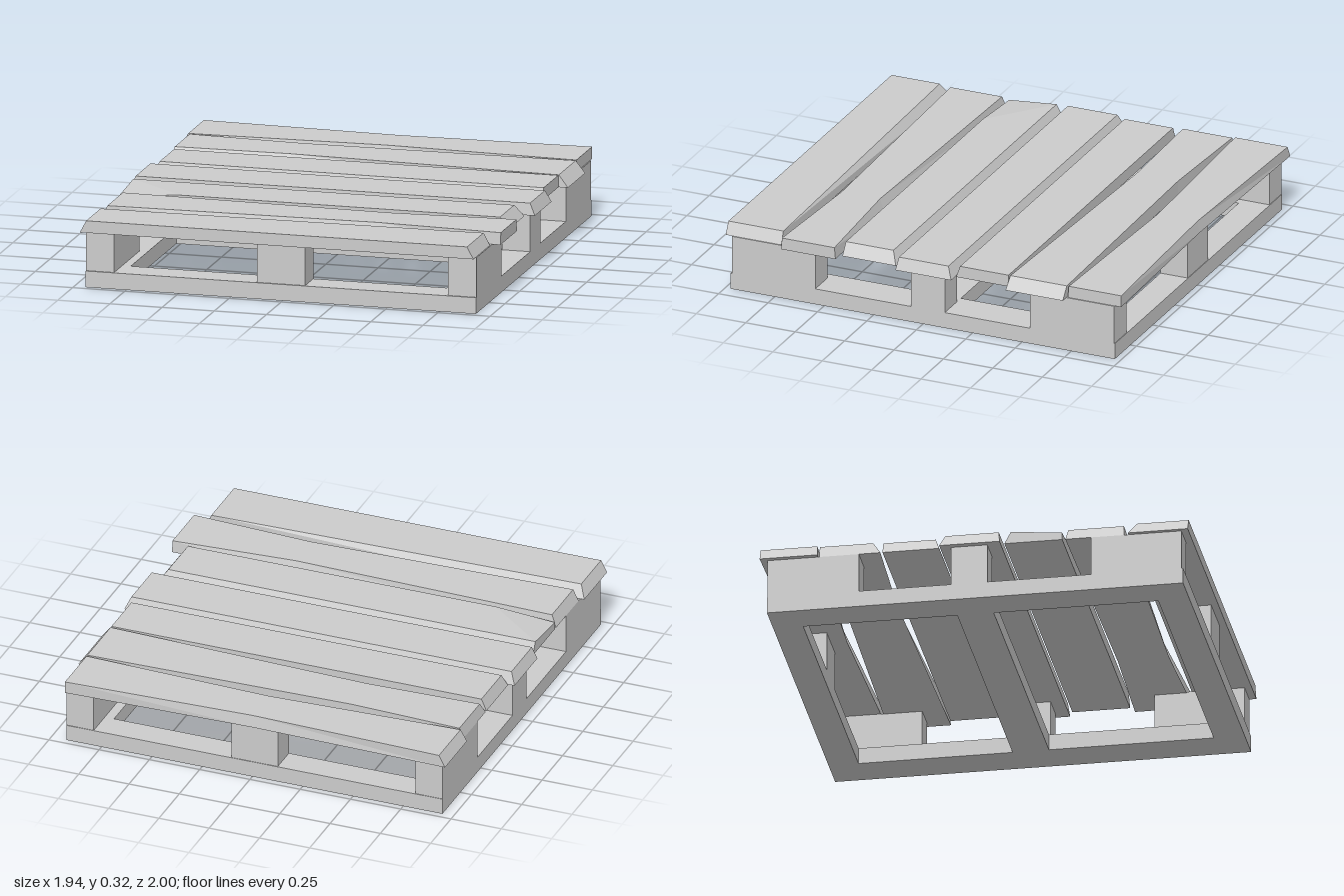
import * as THREE from 'three';

const material = new THREE.MeshStandardMaterial({ color: 0xcccccc, flatShading: true });
const BASE = 0.077, DECK = 0.265, TOP = 0.322;

function add(group, name, geometry) {
  const mesh = new THREE.Mesh(geometry, material);
  mesh.name = name;
  group.add(mesh);
}

// Box given by its min and max on each axis
function span(x0, x1, y0, y1, z0, z1) {
  return new THREE.BoxGeometry(x1 - x0, y1 - y0, z1 - z0)
    .translate((x0 + x1) / 2, (y0 + y1) / 2, (z0 + z1) / 2);
}

function rect(Type, x0, x1, z0, z1) {
  const p = new Type();
  p.moveTo(x0, z0);
  p.lineTo(x1, z0);
  p.lineTo(x1, z1);
  p.lineTo(x0, z1);
  p.closePath();
  return p;
}

// Hewn board lofted along x through four-cornered sections.
// Section: [x top, x bottom, back top z, front top z, back bottom z, front bottom z, bottom y, front top y]
function plank(sections) {
  const rings = sections.map(([xt, xb, bt, ft, bb, fb, yb = DECK, yf = TOP]) =>
    [[xt, TOP, bt], [xt, yf, ft], [xb, yb, fb], [xb, yb, bb]]);
  const pos = [];
  const quad = (a, b, c, d) => pos.push(...a, ...b, ...c, ...a, ...c, ...d);
  for (let i = 0; i < rings.length - 1; i++) {
    const r = rings[i], s = rings[i + 1];
    for (let k = 0; k < 4; k++) quad(r[k], r[(k + 1) % 4], s[(k + 1) % 4], s[k]);
  }
  const first = rings[0], last = rings[rings.length - 1];
  quad(first[0], first[3], first[2], first[1]);
  quad(...last);
  const g = new THREE.BufferGeometry();
  g.setAttribute('position', new THREE.Float32BufferAttribute(pos, 3));
  g.computeVertexNormals();
  return g;
}

export function createModel() {
  const model = new THREE.Group();
  model.name = 'pallet';

  // Bottom frame with a crossbar between two openings
  const frame = rect(THREE.Shape, -0.945, 0.925, -0.97, 0.975);
  frame.holes.push(rect(THREE.Path, -0.77, 0.745, -0.83, -0.11),
    rect(THREE.Path, -0.77, 0.745, 0.06, 0.83));
  add(model, 'bottomFrame', new THREE.ExtrudeGeometry(frame, { depth: BASE, bevelEnabled: false })
    .rotateX(Math.PI / 2).translate(0, BASE, 0));

  // Spacer blocks: long at the corners, short midway along each side
  const blocks = new THREE.Group();
  blocks.name = 'spacerBlocks';
  model.add(blocks);
  for (const [x0, x1] of [[-0.945, -0.81], [0.79, 0.925]]) {
    add(blocks, 'cornerBlock', span(x0, x1, BASE, DECK, 0.545, 0.967));
    add(blocks, 'sideBlock', span(x0, x1, BASE, DECK, -0.11, 0.06));
    add(blocks, 'cornerBlock', span(x0, x1, BASE, DECK, -0.967, -0.54));
  }
  for (const [z0, z1] of [[-0.967, -0.83], [0.83, 0.967]]) {
    add(blocks, 'middleBlock', span(-0.125, 0.105, BASE, DECK, z0, z1));
  }

  // Uneven deck boards, from back to front
  const boards = [
    [[-0.94, -0.97, -1, -0.735, -1, -0.73],
      [0, 0, -0.97, -0.77, -0.98, -0.755],
      [0.92, 0.92, -1, -0.735, -1, -0.73]],
    [[-0.93, -0.945, -0.725, -0.475, -0.725, -0.44],
      [-0.38, -0.38, -0.7, -0.49, -0.7, -0.455, 0.252],
      [0.92, 0.965, -0.725, -0.44, -0.725, -0.435]],
    [[-0.92, -0.945, -0.43, -0.185, -0.43, -0.165],
      [0.92, 0.92, -0.43, -0.185, -0.43, -0.165]],
    [[-0.95, -0.975, -0.135, 0.115, -0.16, 0.122],
      [0.94, 0.965, -0.135, 0.115, -0.16, 0.122]],
    [[-0.945, -0.945, 0.17, 0.41, 0.14, 0.41, DECK, 0.3],
      [-0.65, -0.65, 0.17, 0.41, 0.14, 0.41],
      [0.88, 0.92, 0.17, 0.41, 0.14, 0.41]],
    [[-0.92, -0.945, 0.435, 0.695, 0.425, 0.7],
      [0.37, 0.37, 0.468, 0.662, 0.445, 0.685, 0.25],
      [0.965, 0.965, 0.43, 0.695, 0.425, 0.7]],
    [[-0.935, -0.965, 0.757, 1, 0.72, 1],
      [0.89, 0.92, 0.722, 1, 0.72, 1]],
  ];
  const deck = new THREE.Group();
  deck.name = 'deck';
  model.add(deck);
  boards.forEach((sections, i) => add(deck, `deckBoard${i + 1}`, plank(sections)));

  return model;
}
